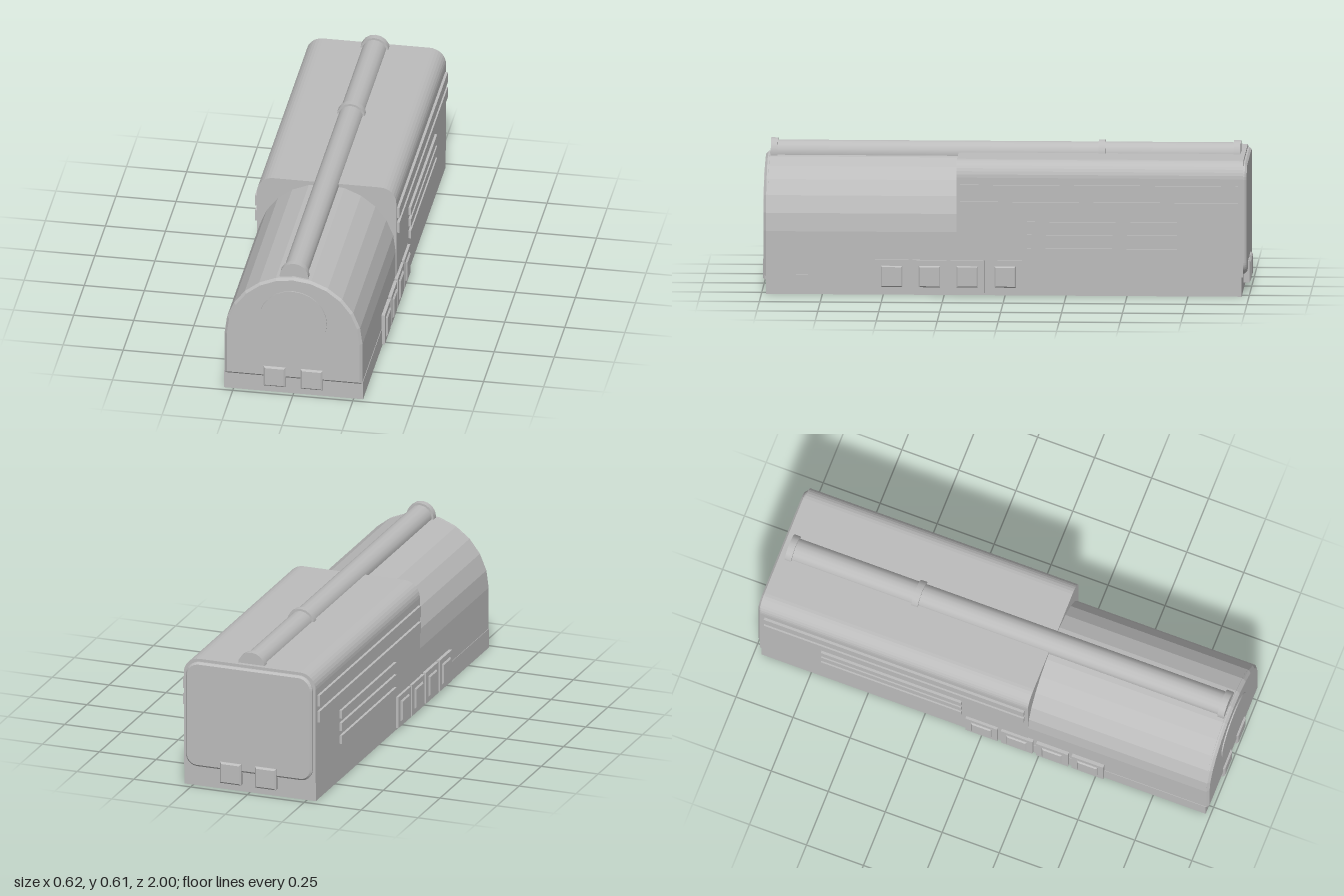
import * as THREE from 'three';

const grey = new THREE.MeshStandardMaterial({ color: 0xbcbcbc });
grey.name = 'grey';

// Half-round arch with straight sides
function archShape(r, bottom, centreY) {
  const s = new THREE.Shape();
  s.moveTo(-r, bottom);
  s.lineTo(r, bottom);
  for (let i = 0; i <= 12; i++) {
    const a = (i / 12) * Math.PI;
    s.lineTo(r * Math.cos(a), centreY + r * Math.sin(a));
  }
  s.closePath();
  return s;
}

// Rectangle with rounded top corners (rt) and bottom corners (rb)
function panelShape(w, y0, y1, rt, rb) {
  const s = new THREE.Shape();
  s.moveTo(-w + rb, y0);
  s.lineTo(w - rb, y0);
  if (rb) s.absarc(w - rb, y0 + rb, rb, -Math.PI / 2, 0);
  s.lineTo(w, y1 - rt);
  s.absarc(w - rt, y1 - rt, rt, 0, Math.PI / 2);
  s.lineTo(-w + rt, y1);
  s.absarc(-w + rt, y1 - rt, rt, Math.PI / 2, Math.PI);
  s.lineTo(-w, y0 + rb);
  if (rb) s.absarc(-w + rb, y0 + rb, rb, Math.PI, Math.PI * 1.5);
  return s;
}

// Extrude a shape from z0 to z1, with an optional inward chamfer
function extrude(shape, z0, z1, bevel = 0) {
  const g = new THREE.ExtrudeGeometry(shape, {
    depth: z1 - z0 - 2 * bevel, curveSegments: 4, bevelEnabled: bevel > 0,
    bevelSize: bevel, bevelOffset: -bevel, bevelThickness: bevel, bevelSegments: 1,
  });
  return g.translate(0, 0, z0 + bevel);
}

// Chamfered square plate facing +z, its back on z = 0
function squarePlate(size, depth, bevel) {
  const h = size / 2;
  const s = new THREE.Shape([[-h, -h], [h, -h], [h, h], [-h, h]].map(p => new THREE.Vector2(...p)));
  return extrude(s, 0, depth, bevel);
}

export function createModel() {
  const model = new THREE.Group();
  const add = (name, geometry, x = 0, y = 0, z = 0, ry = 0) => {
    const m = new THREE.Mesh(geometry, grey);
    m.name = name;
    m.position.set(x, y, z);
    m.rotation.y = ry;
    model.add(m);
    return m;
  };
  const box = (name, w, h, d, x, y, z) => add(name, new THREE.BoxGeometry(w, h, d), x, y, z);

  // Main body
  box('base', 0.578, 0.082, 1.95, 0, 0.041, 0.005);
  add('frontHood', extrude(archShape(0.287, 0.08, 0.26), 0.15, 0.982));
  add('rearBody', extrude(panelShape(0.29, 0.08, 0.555, 0.068, 0), -0.975, 0.2));

  // End panels
  add('frontPanel', extrude(archShape(0.286, 0.073, 0.262), 0.965, 0.992, 0.01));
  add('backPanel', extrude(panelShape(0.278, 0.088, 0.543, 0.06, 0.05), -0.99, -0.96, 0.008));
  const disc = add('frontDisc', new THREE.CylinderGeometry(0.141, 0.141, 0.01, 24), 0, 0.347, 0.992);
  disc.rotation.x = Math.PI / 2;

  // Roof pipe and its collars
  const pipe = add('roofPipe', new THREE.CylinderGeometry(0.051, 0.051, 1.92, 16), 0, 0.545, 0.01);
  pipe.rotation.x = Math.PI / 2;
  for (const z of [0.957, -0.387, -0.942]) {
    const collar = add('pipeCollar', new THREE.CylinderGeometry(0.06, 0.06, 0.028, 16), 0, 0.545, z);
    collar.rotation.x = Math.PI / 2;
  }

  // Square buffers on both ends
  for (const x of [-0.077, 0.077]) {
    add('frontBuffer', squarePlate(0.092, 0.03, 0.007), x, 0.079, 0.97);
    add('backBuffer', squarePlate(0.092, 0.04, 0.007), x, 0.079, -0.96, Math.PI);
  }

  for (const side of [-1, 1]) {
    // Square hatches low on the sides
    for (let i = 0; i < 4; i++) {
      const z = 0.465 - i * 0.155;
      box('hatchFrame', 0.03, 0.135, 0.139, side * 0.286, 0.0775, z);
      add('hatchCover', squarePlate(0.088, 0.018, 0.005), side * 0.29, 0.0775, z, side * Math.PI / 2);
    }
    // Short louvres
    for (const y of [0.178, 0.234, 0.288])
      box('louvre', 0.03, 0.036, 0.615, side * 0.286, y, -0.397);
    // Long strips along the rear body
    for (const y of [0.364, 0.434])
      box('sideStrip', 0.03, 0.048, 1.14, side * 0.286, y, -0.385);
  }
  return model;
}
